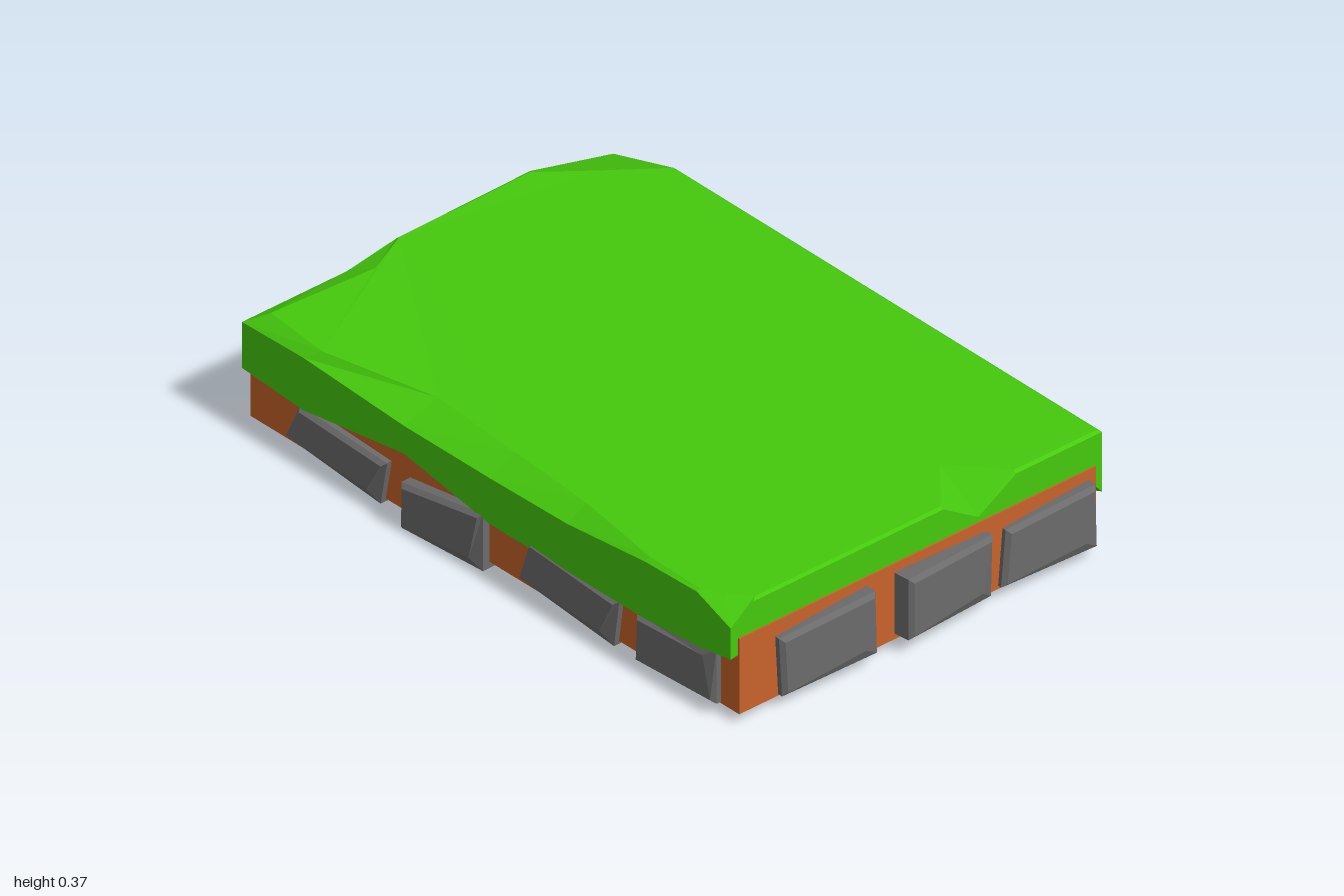
import * as THREE from 'three';

const material = (color) => new THREE.MeshStandardMaterial({ color, flatShading: true });
const GRASS = material(0x45c90d), DIRT = material(0xc8622a), STONE = material(0x6b6b6b);

// Rim of the turf, counter-clockwise from above:
// outer x, z, lower y, upper y, then the inner rim point x, z, y
const RIM = [
  [-0.955, 0.63, 0.195, 0.335, -0.9, 0.58, 0.368],
  [-0.72, 0.63, 0.18, 0.34, -0.68, 0.6, 0.366],
  [-0.33, 0.63, 0.235, 0.32, -0.33, 0.515, 0.358],
  [0, 0.63, 0.18, 0.32, 0, 0.54, 0.36],
  [0.3, 0.63, 0.18, 0.325, 0.3, 0.565, 0.362],
  [0.6, 0.63, 0.18, 0.355, 0.6, 0.615, 0.365],
  [0.8, 0.63, 0.195, 0.36, 0.8, 0.62, 0.365],
  [0.93, 0.63, 0.215, 0.31, 0.86, 0.585, 0.365],
  [0.93, 0.55, 0.225, 0.36, 0.92, 0.54, 0.365],
  [0.93, 0.27, 0.258, 0.36, 0.92, 0.27, 0.365],
  [0.93, 0.12, 0.258, 0.36, 0.92, 0.12, 0.365],
  [0.93, -0.1, 0.24, 0.36, 0.92, -0.1, 0.365],
  [0.93, -0.22, 0.235, 0.285, 0.77, -0.23, 0.365],
  [0.93, -0.35, 0.235, 0.362, 0.92, -0.35, 0.368],
  [0.93, -0.6, 0.23, 0.362, 0.92, -0.6, 0.368],
  [0.93, -0.645, 0.18, 0.362, 0.92, -0.635, 0.368],
  [-0.72, -0.645, 0.18, 0.37, -0.715, -0.635, 0.377],
  [-0.955, -0.645, 0.19, 0.3, -0.83, -0.49, 0.376],
  [-0.955, -0.36, 0.235, 0.37, -0.945, -0.35, 0.376],
  [-0.955, 0.1, 0.25, 0.362, -0.945, 0.1, 0.37],
  [-0.955, 0.27, 0.23, 0.335, -0.88, 0.24, 0.368],
];

// Turf skin: hidden underside lip, lower edge, upper edge, inner rim, flat cap
function turfGeometry() {
  const n = RIM.length;
  const rings = [
    RIM.map(([x, z, y]) => [x * 0.9, y, z * 0.9]),
    RIM.map(([x, z, y]) => [x, y, z]),
    RIM.map(([x, z, , y]) => [x, y, z]),
    RIM.map((p) => [p[4], p[6], p[5]]),
  ];
  const index = [];
  for (let r = 0; r < 3; r++) {
    for (let i = 0; i < n; i++) {
      const a = r * n + i, b = r * n + (i + 1) % n;
      index.push(a, b, b + n, a, b + n, a + n);
    }
  }
  const outline = rings[3].map(([x, , z]) => new THREE.Vector2(x, -z));
  for (const face of THREE.ShapeUtils.triangulateShape(outline, [])) {
    index.push(...face.map((i) => i + 3 * n));
  }
  const geometry = new THREE.BufferGeometry();
  geometry.setAttribute('position', new THREE.Float32BufferAttribute(rings.flat(2), 3));
  geometry.setIndex(index);
  geometry.computeVertexNormals();
  return geometry;
}

// Bevelled four-cornered stone in the xy plane with one chipped front corner
function stone(corners, depth, chip) {
  const pts = corners.map(([x, y]) => new THREE.Vector2(x, y));
  const mid = pts.reduce((s, p) => s.add(p), new THREE.Vector2()).divideScalar(4);
  const shape = new THREE.Shape(pts.map((p) => p.clone().sub(mid)));
  const bevel = 0.012;
  const geometry = new THREE.ExtrudeGeometry(shape, {
    depth: depth - bevel, bevelThickness: bevel, bevelSize: bevel, bevelOffset: -bevel, bevelSegments: 1,
  });
  const pos = geometry.attributes.position;
  const corner = pts[chip].clone().sub(mid);
  for (let i = 0; i < pos.count; i++) {
    const near = Math.hypot(pos.getX(i) - corner.x, pos.getY(i) - corner.y) < 0.04;
    if (near && pos.getZ(i) > depth - 0.005) {
      pos.setXYZ(i, pos.getX(i) - corner.x * 0.2, pos.getY(i) - corner.y * 0.2, depth);
    }
  }
  geometry.computeVertexNormals();
  const mesh = new THREE.Mesh(geometry, STONE);
  mesh.position.set(mid.x, mid.y, 0);
  return mesh;
}

// A row of stones set into one wall
function stoneRow(name, specs) {
  const row = new THREE.Group();
  row.name = name;
  specs.forEach(({ corners, depth, chip, yaw = 0, out = 0 }, i) => {
    const mesh = stone(corners, depth, chip);
    mesh.name = `${name}Stone${i + 1}`;
    mesh.position.z = out;
    mesh.rotation.y = yaw;
    row.add(mesh);
  });
  return row;
}

export function createModel() {
  const model = new THREE.Group();
  model.name = 'grassPlatform';

  const turf = new THREE.Mesh(turfGeometry(), GRASS);
  turf.name = 'turf';
  model.add(turf);

  // Soil block under the turf
  const soil = new THREE.Mesh(new THREE.BoxGeometry(1.885, 0.23, 1.225), DIRT);
  soil.name = 'soil';
  soil.position.set(-0.0075, 0.155, -0.0075);
  model.add(soil);

  // Front wall stones
  const front = stoneRow('front', [
    { corners: [[-0.795, 0.065], [-0.43, 0.03], [-0.405, 0.165], [-0.74, 0.18]], depth: 0.05, chip: 1 },
    { corners: [[-0.335, 0.01], [-0.03, 0.02], [-0.03, 0.195], [-0.335, 0.15]], depth: 0.06, chip: 1, yaw: 0.03 },
    { corners: [[0.105, 0.065], [0.47, 0.03], [0.49, 0.175], [0.15, 0.2]], depth: 0.05, chip: 1 },
    { corners: [[0.555, 0.03], [0.865, 0.045], [0.865, 0.21], [0.56, 0.175]], depth: 0.05, chip: 2 },
  ]);
  front.position.z = 0.583;
  model.add(front);

  // Side wall stones; local x runs toward the back on the right wall
  const right = stoneRow('rightSide', [
    { corners: [[-0.47, 0.045], [-0.16, 0.055], [-0.165, 0.245], [-0.48, 0.225]], depth: 0.06, chip: 1, yaw: -0.06 },
    { corners: [[-0.075, 0.06], [0.235, 0.05], [0.24, 0.235], [-0.075, 0.245]], depth: 0.06, chip: 1, yaw: 0.09, out: 0.012 },
    { corners: [[0.285, 0.05], [0.6, 0.05], [0.595, 0.24], [0.3, 0.22]], depth: 0.055, chip: 1, yaw: -0.05 },
  ]);
  right.rotation.y = Math.PI / 2;
  right.position.x = 0.912;
  model.add(right);

  // Left wall, local x runs toward the front
  const left = stoneRow('leftSide', [
    { corners: [[-0.6, 0.05], [-0.3, 0.05], [-0.305, 0.225], [-0.6, 0.24]], depth: 0.05, chip: 0, yaw: -0.07 },
    { corners: [[-0.21, 0.05], [0.1, 0.06], [0.1, 0.24], [-0.215, 0.235]], depth: 0.055, chip: 0, yaw: 0.07, out: 0.006 },
    { corners: [[0.17, 0.055], [0.46, 0.045], [0.46, 0.22], [0.165, 0.24]], depth: 0.045, chip: 1, yaw: -0.04 },
  ]);
  left.rotation.y = -Math.PI / 2;
  left.position.x = -0.928;
  model.add(left);

  return model;
}
